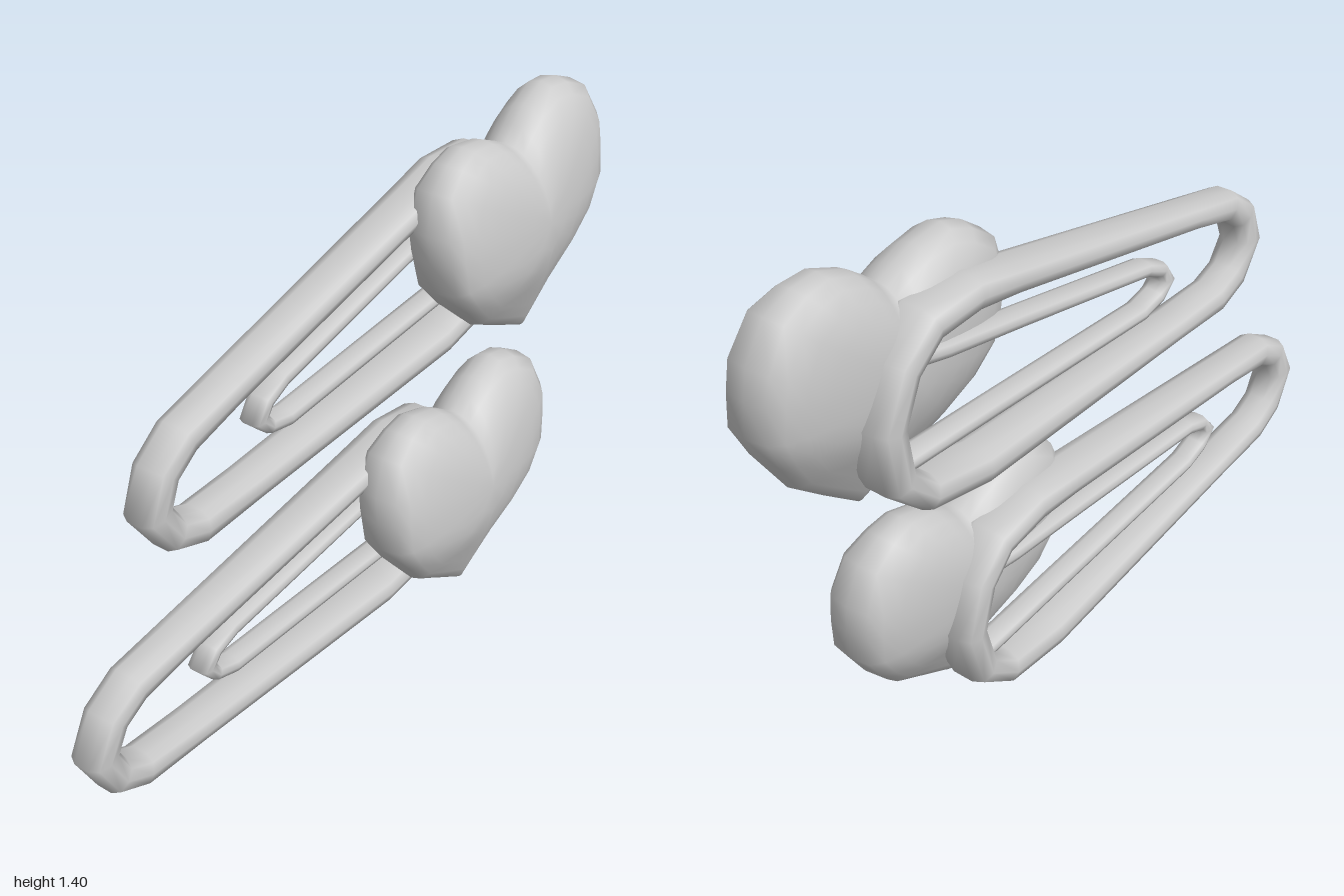
import * as THREE from 'three';
import { mergeVertices } from 'three/addons/utils/BufferGeometryUtils.js';

const material = new THREE.MeshStandardMaterial({ color: 0xcccccc });

// Joins rows of points into a smooth surface. Every row is a closed loop,
// counter-clockwise about the direction in which the rows advance.
function skin(rows, closed) {
  const n = rows[0].length, index = [];
  const last = closed ? rows.length : rows.length - 1;
  for (let i = 0; i < last; i++) {
    const a = i * n, b = ((i + 1) % rows.length) * n;
    for (let j = 0; j < n; j++) {
      const k = (j + 1) % n;
      index.push(a + j, b + k, b + j, a + j, a + k, b + k);
    }
  }
  let geo = new THREE.BufferGeometry();
  geo.setAttribute('position', new THREE.Float32BufferAttribute(rows.flat(2), 3));
  geo.setIndex(index);
  geo = mergeVertices(geo, 1e-5);
  geo.computeVertexNormals();
  return geo;
}

// Flat wire with mitred corners: width in the xy plane, depth along z.
function wire(path, halfWidth, halfDepth, closed) {
  const sides = 10, n = path.length, z = -0.083;
  const round = (v) => Math.sign(v) * Math.abs(v) ** 0.75;
  const rows = path.map(([x, y], i) => {
    const prev = path[closed ? (i + n - 1) % n : Math.max(i - 1, 0)];
    const next = path[closed ? (i + 1) % n : Math.min(i + 1, n - 1)];
    const p = new THREE.Vector2(x, y);
    const din = p.clone().sub(new THREE.Vector2(...prev)).normalize();
    const dout = new THREE.Vector2(...next).sub(p).normalize();
    const t = din.clone().add(dout).normalize();
    const miter = 1 / Math.max(0.7, Math.max(t.dot(din), t.dot(dout)));
    return Array.from({ length: sides }, (_, j) => {
      const a = (j + 0.5) / sides * Math.PI * 2;
      const u = round(Math.cos(a)) * halfWidth(x) * miter;
      return [x - t.y * u, y + t.x * u, z + round(Math.sin(a)) * halfDepth(x)];
    });
  });
  // Open wires get closed ends
  if (!closed) {
    const cap = (i) => rows[0].map(() => [...path[i], z]);
    rows.unshift(cap(0));
    rows.push(cap(n - 1));
  }
  return skin(rows, closed);
}

// Puffed heart: its outline swells from a tilted rim plane to front and back
function heartGeometry() {
  const half = [[0.12, 0.075], [0.235, 0.15], [0.315, 0.245], [0.368, 0.33], [0.375, 0.42],
    [0.374, 0.5], [0.332, 0.6], [0.26, 0.64], [0.19, 0.656], [0.1, 0.632], [0.045, 0.6]];
  const outline = [[0, 0.002], ...half, [0, 0.57],
    ...half.slice().reverse().map(([x, y]) => [-x, y])];
  const rows = [], steps = 14, midY = 0.37;
  for (let i = 0; i <= steps; i++) {
    const a = Math.PI * (1 - i / steps), s = Math.sin(a), c = Math.cos(a);
    rows.push(outline.map(([ox, oy]) => {
      const x = ox * s, y = midY + (oy - midY) * s;
      // Fuller towards the sides, thinner towards the tip
      const fullness = Math.sign(c) * Math.abs(c) ** (1 - 0.5 * (ox / 0.375) ** 2);
      const puff = 0.127 * fullness * Math.min(1, 0.3 + 2.7 * y);
      return [0.4 + x, y, 0.055 - 0.07 * y + puff];
    }));
  }
  return skin(rows, false);
}

function createClip() {
  const clip = new THREE.Group();
  const add = (name, geo) => {
    const mesh = new THREE.Mesh(geo, material);
    mesh.name = name;
    clip.add(mesh);
  };

  // Outer loop, deeper towards the heart
  const outer = [[-0.955, 0.305], [-0.908, 0.392], [-0.825, 0.437], [-0.65, 0.457], [0.1, 0.525],
    [0.24, 0.535], [0.38, 0.51], [0.46, 0.43], [0.5, 0.3], [0.46, 0.155], [0.36, 0.083],
    [0.165, 0.067], [-0.63, 0.147], [-0.825, 0.168], [-0.908, 0.212]];
  add('outerLoop', wire(outer, (x) => (x < -0.8 || x > 0.15 ? 0.043 : 0.037),
    (x) => 0.052 + 0.014 * (x + 1), true));

  // Inner tongue, a thin wire bent back into the loop
  const inner = [[0.46, 0.435], [0.3, 0.415], [0.03, 0.398], [-0.47, 0.362], [-0.54, 0.34],
    [-0.572, 0.303], [-0.54, 0.265], [-0.47, 0.24], [0.12, 0.197], [0.3, 0.183], [0.46, 0.17]];
  add('innerTongue', wire(inner, () => 0.021, () => 0.035, false));

  add('heart', heartGeometry());
  return clip;
}

export function createModel() {
  const model = new THREE.Group();
  model.name = 'heartHairClips';

  const lower = createClip();
  lower.name = 'lowerClip';

  // Second clip, turned slightly about the tip of its heart
  const upper = createClip();
  upper.name = 'upperClip';
  const turn = THREE.MathUtils.degToRad(7);
  upper.rotation.z = turn;
  upper.position.set(0.672 - 0.4 * Math.cos(turn), 0.728 - 0.4 * Math.sin(turn), 0);

  model.add(lower, upper);
  return model;
}
